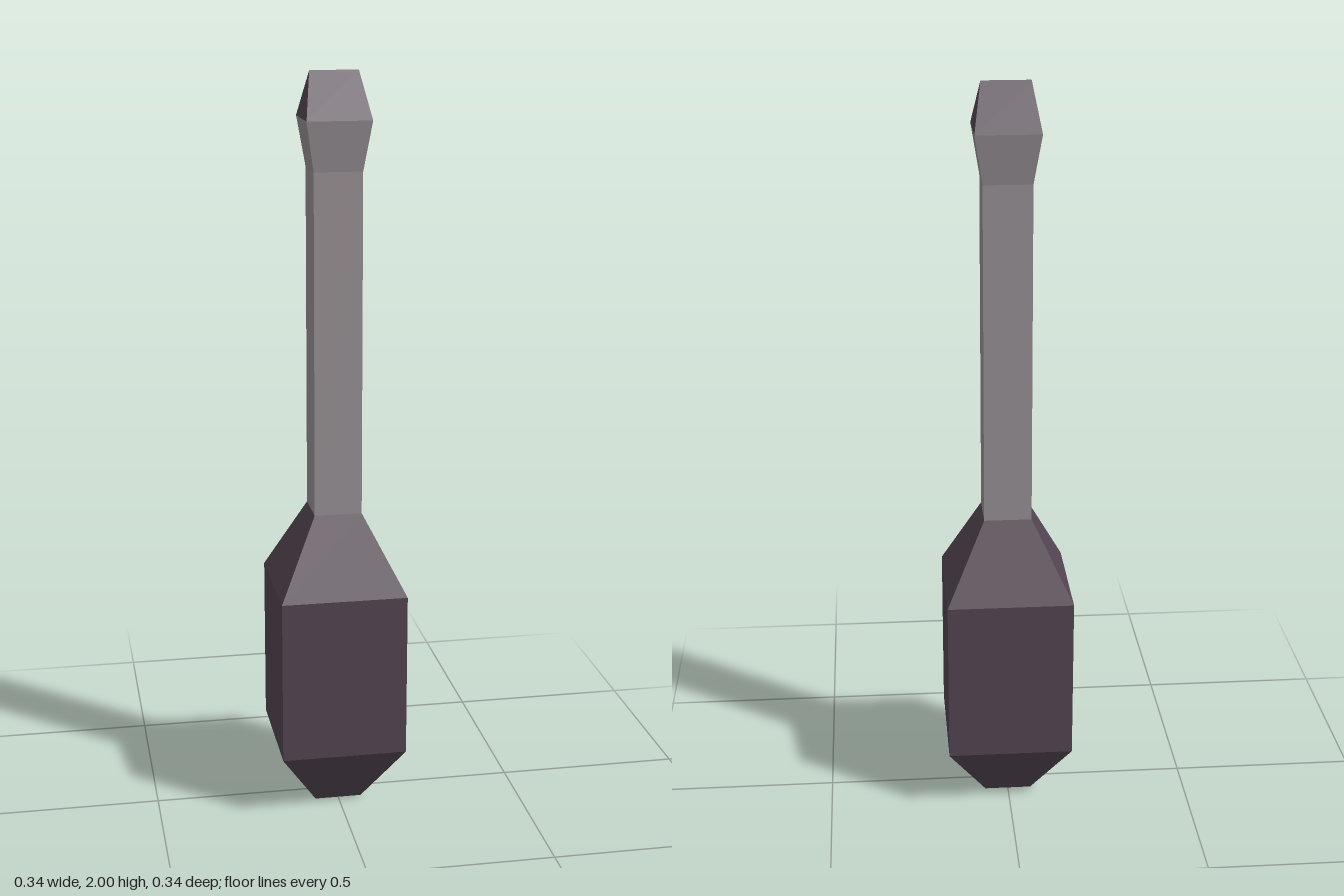
import * as THREE from 'three';

const purple = new THREE.MeshStandardMaterial({ color: 0x544552, flatShading: true });
purple.name = 'dark purple';
const grey = new THREE.MeshStandardMaterial({ color: 0x989195, flatShading: true });
grey.name = 'warm grey';

const THIN = 0.064, WIDE = 0.17, FLARE = 0.085;

// Open four-sided section between two heights, given half-widths
function section(name, material, y0, half0, y1, half1) {
  const geo = new THREE.CylinderGeometry(half1 * Math.SQRT2, half0 * Math.SQRT2, y1 - y0, 4, 1, true);
  geo.rotateY(Math.PI / 4);
  geo.translate(0, (y0 + y1) / 2, 0);
  const mesh = new THREE.Mesh(geo, material);
  mesh.name = name;
  return mesh;
}

export function createModel() {
  const model = new THREE.Group();
  model.name = 'screwdriver';

  // Handle: tapered bottom, straight grip, tapered shoulder
  const handle = new THREE.Group();
  handle.name = 'handle';
  handle.add(
    section('handleBottom', purple, 0, THIN, 0.175, WIDE),
    section('handleGrip', purple, 0.175, WIDE, 0.625, WIDE),
    section('handleShoulder', purple, 0.625, WIDE, 0.835, THIN),
  );
  const cap = new THREE.Mesh(new THREE.PlaneGeometry(THIN * 2, THIN * 2).rotateX(Math.PI / 2), grey);
  cap.name = 'handleEnd';
  handle.add(cap);

  // Shaft with a flared end
  const shaft = new THREE.Group();
  shaft.name = 'shaft';
  shaft.add(
    section('shaftRod', grey, 0.835, THIN, 1.75, THIN),
    section('shaftFlare', grey, 1.75, THIN, 1.88, FLARE),
  );

  // Blade tip: a box pinched to a ridge running along x
  const tipGeo = new THREE.BoxGeometry(FLARE * 2, 0.12, FLARE * 2).translate(0, 1.94, 0);
  const pos = tipGeo.attributes.position;
  for (let i = 0; i < pos.count; i++) {
    if (pos.getY(i) > 1.94) pos.setXYZ(i, Math.sign(pos.getX(i)) * THIN, 2, 0);
  }
  tipGeo.computeVertexNormals();
  const tip = new THREE.Mesh(tipGeo, purple);
  tip.name = 'bladeTip';

  model.add(handle, shaft, tip);
  return model;
}
